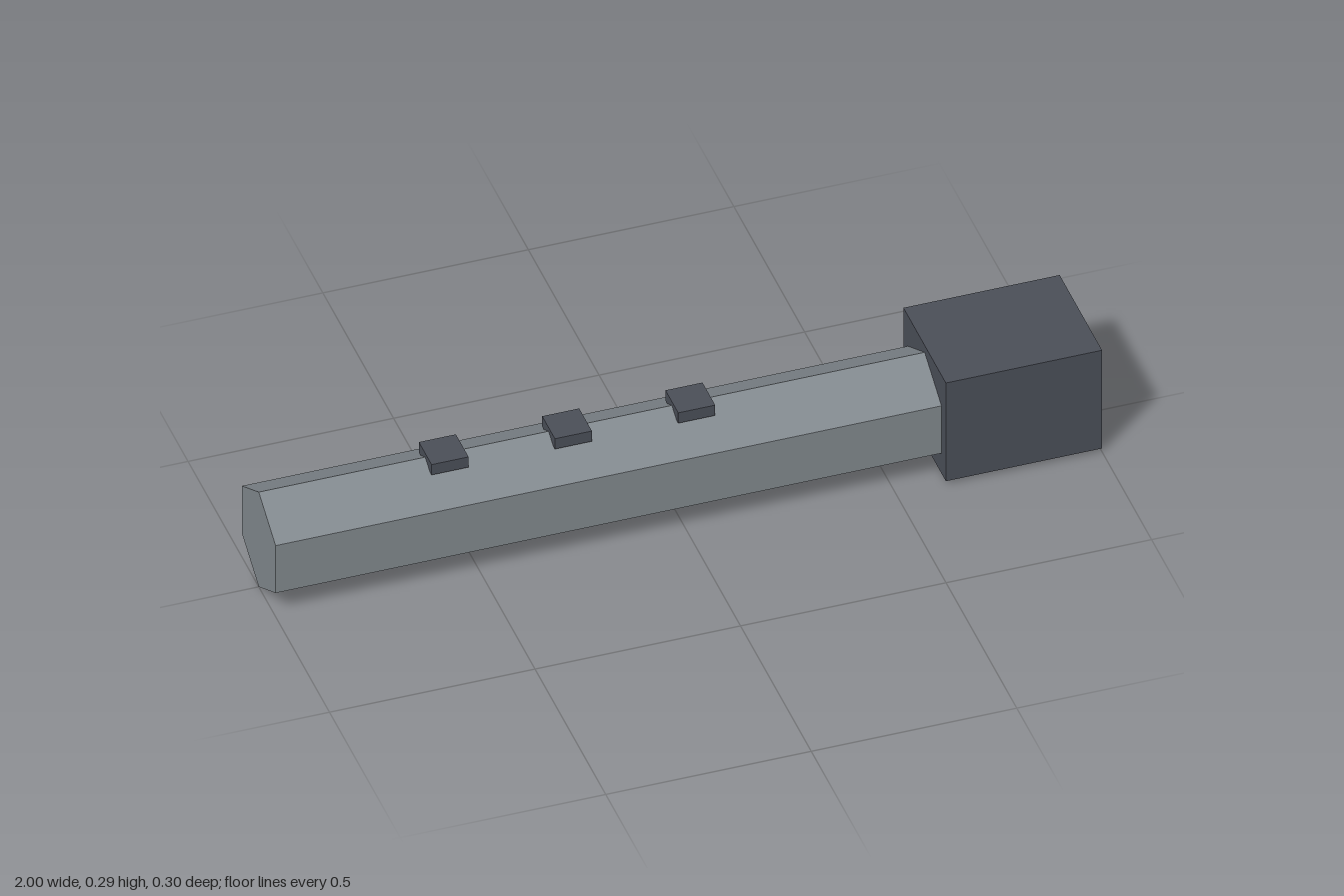
import * as THREE from 'three';

export function createModel() {
  const model = new THREE.Group();
  const steel = new THREE.MeshStandardMaterial({ color: 0x80878c });
  steel.name = 'grey steel';
  steel.flatShading = true;
  const dark = new THREE.MeshStandardMaterial({ color: 0x4a4e57 });
  dark.name = 'dark slate';

  const add = (name, geometry, material, x, y, z = 0) => {
    const mesh = new THREE.Mesh(geometry, material);
    mesh.name = name;
    mesh.position.set(x, y, z);
    model.add(mesh);
  };

  // Hexagonal bar along x, with an edge at the top and bottom
  const radius = 0.1375;
  const length = 1.81;
  const hex = new THREE.CylinderGeometry(radius, radius, length, 6, 1, false, Math.PI / 6);
  hex.rotateZ(Math.PI / 2);
  add('hexagonalBar', hex, steel, -1 + length / 2, radius);

  // Block wrapped around the end of the bar
  add('endBlock', new THREE.BoxGeometry(0.38, 0.285, 0.3), dark, 0.81, 0.1525);

  // Three small square studs on the top ridge
  const stud = new THREE.BoxGeometry(0.09, 0.03, 0.09);
  [-0.55, -0.25, 0.05].forEach((x, i) => add('topStud' + (i + 1), stud, dark, x, 0.271));

  return model;
}
